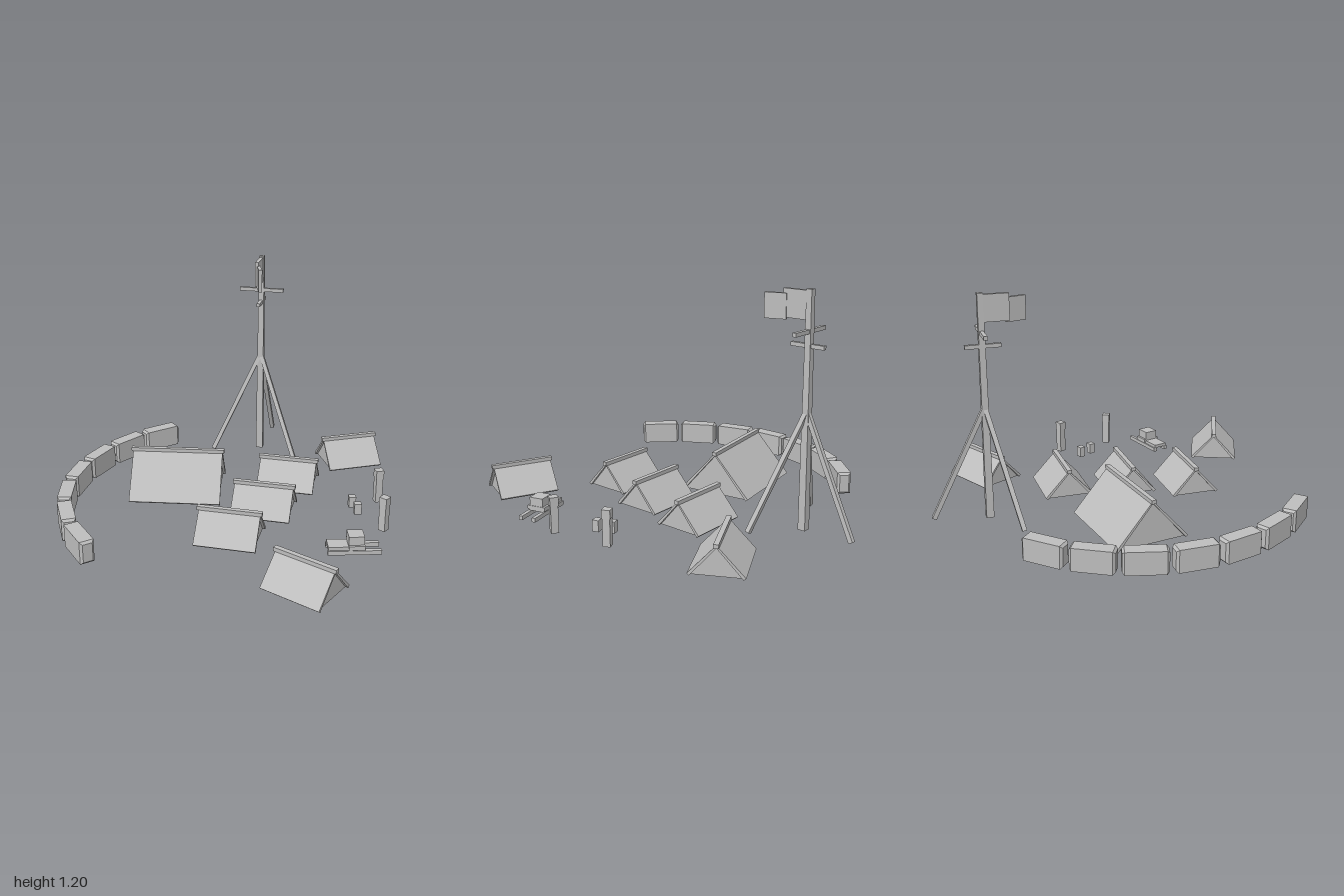
import * as THREE from 'three';

const stone = new THREE.MeshStandardMaterial({ color: 0xbdbdbd });
stone.name = 'plain grey';

function add(parent, name, geometry, x = 0, y = 0, z = 0, ry = 0) {
  const mesh = new THREE.Mesh(geometry, stone);
  mesh.name = name;
  mesh.position.set(x, y, z);
  mesh.rotation.y = ry;
  parent.add(mesh);
  return mesh;
}

function addGroup(parent, name, x, z, ry) {
  const group = new THREE.Group();
  group.name = name;
  group.position.set(x, 0, z);
  group.rotation.y = ry;
  parent.add(group);
  return group;
}

const box = (w, h, d) => new THREE.BoxGeometry(w, h, d);

// Prism with the given outline in the y-z plane, running along x
function prism(points, length) {
  const shape = new THREE.Shape(points.map(([a, b]) => new THREE.Vector2(a, b)));
  const geometry = new THREE.ExtrudeGeometry(shape, { depth: length, bevelEnabled: false });
  return geometry.translate(0, 0, -length / 2).rotateY(Math.PI / 2);
}

// Square beam between two points
function beam(parent, name, from, to, size) {
  const a = new THREE.Vector3(...from), b = new THREE.Vector3(...to);
  const mesh = add(parent, name, box(size, a.distanceTo(b), size));
  mesh.position.copy(a).lerp(b, 0.5);
  mesh.quaternion.setFromUnitVectors(new THREE.Vector3(0, 1, 0), a.sub(b).normalize());
}

// Ridge tent: two roof sheets, thin recessed end walls and a ridge pole, open below
function tent(parent, x, z, ry, length, depth, height) {
  const group = addGroup(parent, 'tent', x, z, ry);
  const r = depth / 2, t = 0.015, top = height - 0.008;
  const slope = Math.atan2(top, r);
  const eave = t * Math.cos(slope), inner = r - t * Math.sin(slope);
  const innerTop = inner * Math.tan(slope);
  add(group, 'tentRoof', prism([[-r, eave], [-inner, 0], [0, innerTop], [inner, 0], [r, eave], [0, top]], length));
  for (const side of [-1, 1]) {
    const wall = prism([[-inner, 0.002], [inner, 0.002], [0, innerTop]], 0.008);
    add(group, 'tentEndWall', wall, side * (length / 2 - 0.018), 0, 0);
  }
  add(group, 'ridgePole', box(length + 0.018, 0.02, 0.025), 0, height - 0.01, 0);
}

// Lookout mast with braces, crossbars and a two-panel flag
function mast(parent) {
  const group = addGroup(parent, 'mast', 0.02, -0.7, 0);
  const post = new THREE.CylinderGeometry(0.021, 0.029, 1.2, 4).rotateY(Math.PI / 4).toNonIndexed();
  post.computeVertexNormals();
  add(group, 'mastPost', post, 0, 0.6, 0);
  for (const [x, z] of [[0.025, -0.288], [-0.262, 0.13], [0.24, 0.165]]) {
    beam(group, 'mastBrace', [0, 0.61, 0], [x, 0.018, z], 0.024);
  }
  add(group, 'wideCrossbar', box(0.258, 0.02, 0.02), 0, 1.0, 0);
  add(group, 'deepCrossbar', box(0.02, 0.02, 0.185), 0, 0.93, 0.005);
  add(group, 'flagInnerPanel', box(0.02, 0.14, 0.15), 0, 1.122, 0.07);
  add(group, 'flagOuterPanel', box(0.02, 0.126, 0.11), 0.022, 1.106, 0.18, 0.3);
}

// Chamfered block of the curved barricade
function barrierBlock() {
  const b = 0.012, w = 0.074, h = 0.12, l = 0.223;
  const x = w / 2 - b, y = h / 2 - b;
  const shape = new THREE.Shape([[-x, -y], [x, -y], [x, y], [-x, y]].map((p) => new THREE.Vector2(...p)));
  const geometry = new THREE.ExtrudeGeometry(shape, {
    depth: l - 2 * b, bevelEnabled: true, bevelSize: b, bevelThickness: b, bevelSegments: 1,
  });
  return geometry.translate(0, 0, -(l - 2 * b) / 2);
}

// Standing figure: plain body with a slightly wider head block
function figure(parent, x, z, ry) {
  const group = addGroup(parent, 'figure', x, z, ry);
  add(group, 'figureBody', box(0.038, 0.142, 0.038), 0, 0.083, 0);
  add(group, 'figureHead', box(0.043, 0.045, 0.043), 0, 0.176, 0);
}

// Sled with runners, deck, cross board and a load
function sled(parent) {
  const group = addGroup(parent, 'sled', 0.722, 0.445, 0.27);
  for (const side of [-1, 1]) {
    add(group, 'sledRunner', box(0.265, 0.022, 0.02), 0, 0.025, side * 0.038);
  }
  add(group, 'sledDeck', box(0.18, 0.018, 0.08), -0.04, 0.045, 0);
  add(group, 'sledCrossBoard', box(0.08, 0.022, 0.102), 0.01, 0.051, 0);
  add(group, 'sledLoad', box(0.078, 0.045, 0.076), 0.008, 0.084, 0);
}

export function createModel() {
  const model = new THREE.Group();
  model.name = 'camp';

  mast(model);

  tent(model, -0.309, -0.032, 0.155, 0.497, 0.407, 0.245);
  for (const [x, z, ry] of [
    [0.279, -0.236, 0], [0.208, 0.112, 0], [0.098, 0.442, 0],
    [0.574, -0.624, 0.486], [0.538, 0.813, -0.41],
  ]) {
    tent(model, x, z, ry, 0.318, 0.268, 0.163);
  }

  // Barricade laid along an arc
  const block = barrierBlock();
  for (let i = -3; i <= 3; i++) {
    const a = i * 0.256;
    add(model, 'barricadeBlock', block, 0.11 - 0.952 * Math.cos(a), 0.071, 0.117 + 0.952 * Math.sin(a), a);
  }

  figure(model, 0.794, -0.108, 0.45);
  figure(model, 0.849, 0.205, -0.5);

  // Small crates
  add(model, 'crate', box(0.038, 0.06, 0.034), 0.665, 0.042, -0.015, 0.3);
  add(model, 'crate', box(0.038, 0.06, 0.034), 0.702, 0.042, 0.058, 0.3);

  sled(model);
  return model;
}
